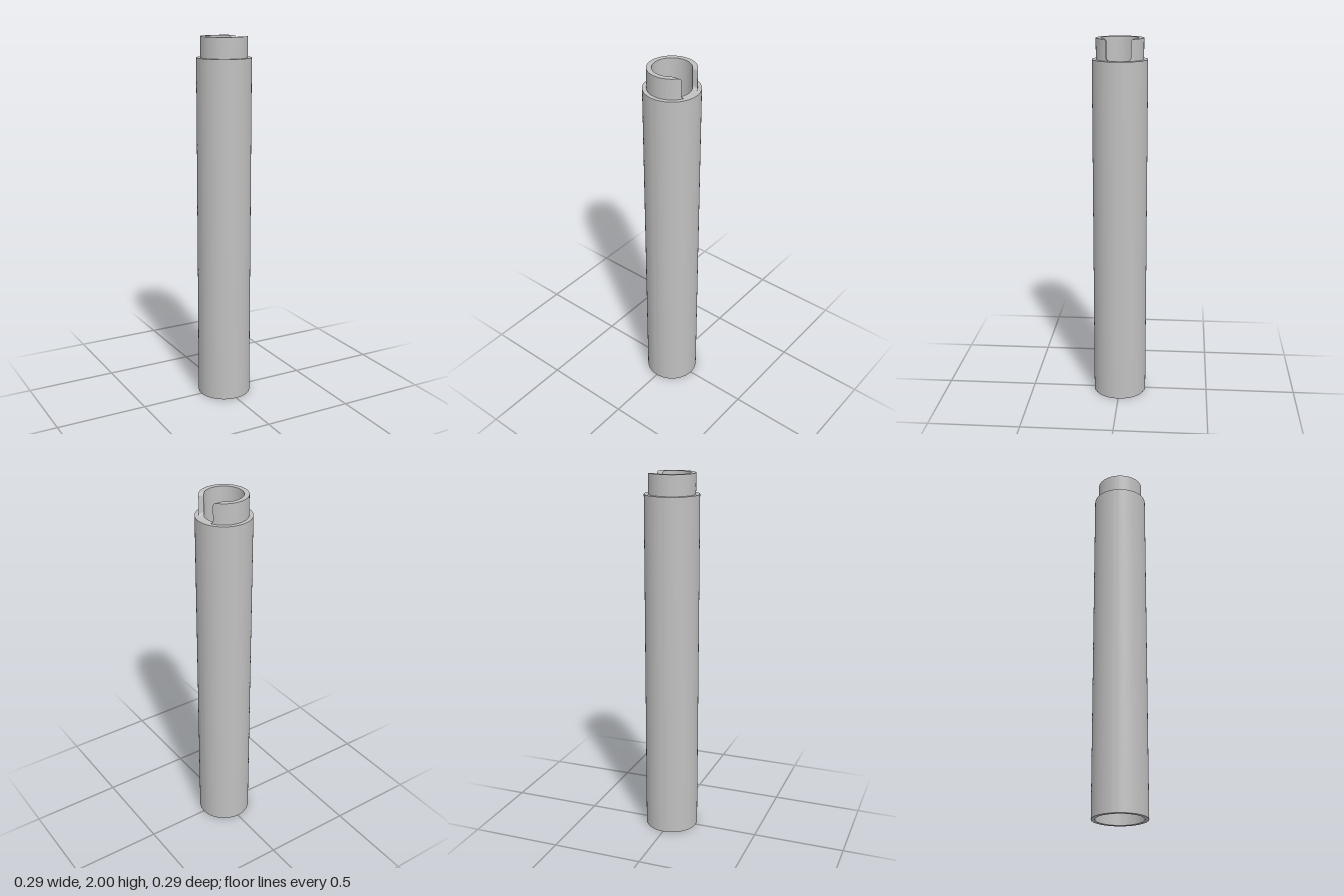
import * as THREE from 'three';
import { toCreasedNormals } from 'three/addons/utils/BufferGeometryUtils.js';

const OUTER = 0.147, COLLAR = 0.126, BORE = 0.1;
const SHOULDER = 1.89, TOP = 2, SOCKET = 0.2;
const SLOT = 0.063, FILLET = 0.016;

// Stations around the collar: z and angle rules give an inner and an outer rim point at height h.
function collarStations() {
  const half = [];
  const add = (z, h) => half.push({
    h, z, inner: Math.asin(z / BORE), outer: Math.asin(z / COLLAR),
  });
  const steps = 8;
  add(0, SHOULDER);
  // Concave fillet at the slot floor, then the rounded upper corner
  for (let i = 0; i <= steps; i++) {
    const a = (i / steps) * Math.PI / 2;
    add(SLOT - FILLET + FILLET * Math.sin(a), SHOULDER + FILLET * (1 - Math.cos(a)));
  }
  for (let i = 0; i <= steps; i++) {
    const a = (i / steps) * Math.PI / 2;
    add(SLOT + FILLET * (1 - Math.cos(a)), TOP - FILLET + FILLET * Math.sin(a));
  }
  // Level rim around to the back
  const end = half[half.length - 1];
  for (let i = 1; i <= 40; i++) {
    half.push({
      h: TOP,
      inner: THREE.MathUtils.lerp(end.inner, Math.PI, i / 40),
      outer: THREE.MathUtils.lerp(end.outer, Math.PI, i / 40),
    });
  }
  const mirrored = half.slice(1, -1).reverse().map(
    (s) => ({ h: s.h, inner: -s.inner, outer: -s.outer }));
  return [...half, ...mirrored, half[0]];
}

function collarGeometry() {
  const positions = [];
  const at = (r, a, y) => new THREE.Vector3(r * Math.cos(a), y, r * Math.sin(a));
  const tri = (a, b, c) => {
    const area = b.clone().sub(a).cross(c.clone().sub(a)).length();
    if (area > 1e-9) positions.push(...a, ...b, ...c);
  };
  const quad = (a, b, c, d) => { tri(a, b, c); tri(a, c, d); };
  const stations = collarStations();
  for (let i = 0; i < stations.length - 1; i++) {
    const s = stations[i], t = stations[i + 1];
    const i0 = at(BORE, s.inner, s.h), i1 = at(BORE, t.inner, t.h);
    const o0 = at(COLLAR, s.outer, s.h), o1 = at(COLLAR, t.outer, t.h);
    const base = (p) => p.clone().setY(SHOULDER);
    if (s.h > SHOULDER || t.h > SHOULDER) {
      quad(i0, i1, o1, o0);                 // rim and slot sides
      quad(o0, o1, base(o1), base(o0));     // outer wall
      quad(i1, i0, base(i0), base(i1));     // inner wall
    }
  }
  const g = new THREE.BufferGeometry();
  g.setAttribute('position', new THREE.Float32BufferAttribute(positions, 3));
  return toCreasedNormals(g, 0.6);
}

export function createModel() {
  const group = new THREE.Group();
  group.name = 'slottedTube';
  const metal = new THREE.MeshStandardMaterial({ color: 0xc0c0c0 });
  metal.name = 'grey';

  // Hollow body with a socket in the foot that fits the collar
  const profile = [
    [BORE, SHOULDER], [BORE, SOCKET], [COLLAR, SOCKET], [COLLAR, 0],
    [OUTER, 0], [OUTER, SHOULDER], [BORE, SHOULDER],
  ].map(([x, y]) => new THREE.Vector2(x, y));
  const body = new THREE.Mesh(
    toCreasedNormals(new THREE.LatheGeometry(profile, 96), 0.6), metal);
  body.name = 'tubeBody';

  // Narrow collar with a slot on the +x side
  const collar = new THREE.Mesh(collarGeometry(), metal);
  collar.name = 'slottedCollar';

  group.add(body, collar);
  return group;
}
